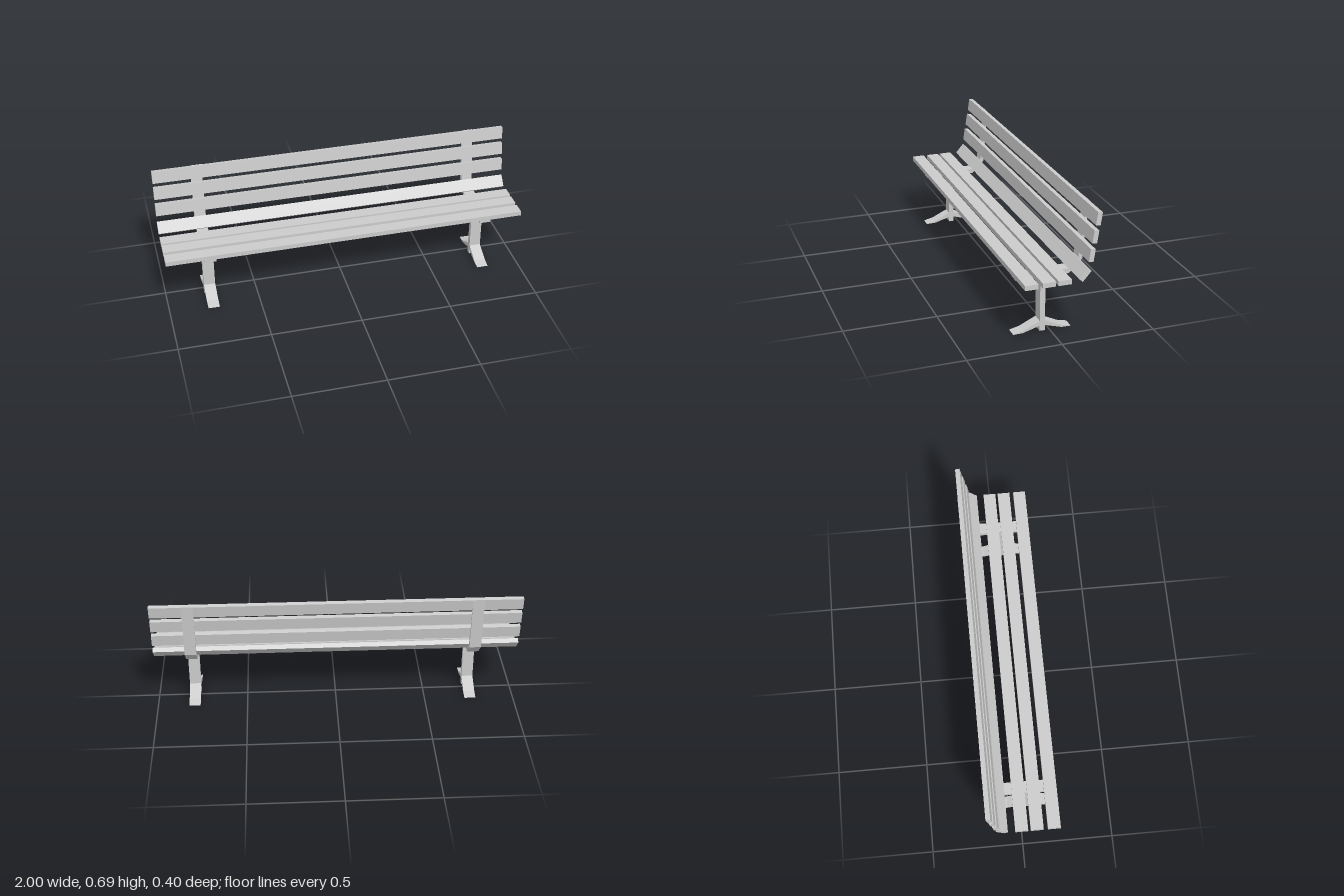
import * as THREE from 'three';

const material = new THREE.MeshStandardMaterial({ color: 0xcccccc, flatShading: true });

// Extrudes a side profile of [z, y] points along x, centred on x = 0
function profilePart(name, points, width) {
  const shape = new THREE.Shape(points.map(([z, y]) => new THREE.Vector2(z, y)));
  const geometry = new THREE.ExtrudeGeometry(shape, { depth: width, bevelEnabled: false });
  geometry.translate(0, 0, -width / 2).rotateY(-Math.PI / 2);
  const mesh = new THREE.Mesh(geometry, material);
  mesh.name = name;
  return mesh;
}

// Full-length plank; lean tips its top towards the back
function slat(name, z, y, height, depth, lean = 0) {
  const mesh = new THREE.Mesh(new THREE.BoxGeometry(2, height, depth), material);
  mesh.name = name;
  mesh.position.set(0, y, z);
  mesh.rotation.x = -lean;
  return mesh;
}

// One support: bent bracket under the slats, post and two splayed feet
function createSupport(name, x) {
  const width = 0.063;
  const postZ = 0.039;
  const support = new THREE.Group();
  support.name = name;
  support.position.x = x;

  support.add(profilePart('bracket', [
    [0.185, 0.3], [-0.1, 0.3], [-0.172, 0.372], [-0.198, 0.684],
    [-0.196, 0.682], [-0.15, 0.38], [-0.101, 0.327], [0.185, 0.322],
  ], width));

  const post = new THREE.Mesh(new THREE.BoxGeometry(width, 0.3, 0.028), material);
  post.name = 'post';
  post.position.set(0, 0.15, postZ);
  support.add(post);

  for (const side of [1, -1]) {
    const foot = [[0.014, 0.056], [0.105, 0.013], [0.157, 0.001], [0.105, 0.002], [0.014, 0.029]];
    support.add(profilePart(side > 0 ? 'frontFoot' : 'backFoot',
      foot.map(([z, y]) => [postZ + side * z, y]), width));
  }
  return support;
}

export function createModel() {
  const bench = new THREE.Group();
  bench.name = 'bench';

  // Seat
  [0.165, 0.0735, -0.009].forEach((z, i) => {
    bench.add(slat('seatSlat' + (i + 1), z, 0.337, 0.026, 0.069));
  });

  // Sloped slat between seat and backrest
  bench.add(slat('cornerSlat', -0.115, 0.362, 0.069, 0.026, 0.71));

  // Backrest
  [[-0.1485, 0.461], [-0.1643, 0.557], [-0.18, 0.651]].forEach(([z, y], i) => {
    bench.add(slat('backSlat' + (i + 1), z, y, 0.068, 0.025, 0.15));
  });

  bench.add(createSupport('leftSupport', 0.795), createSupport('rightSupport', -0.758));
  return bench;
}
